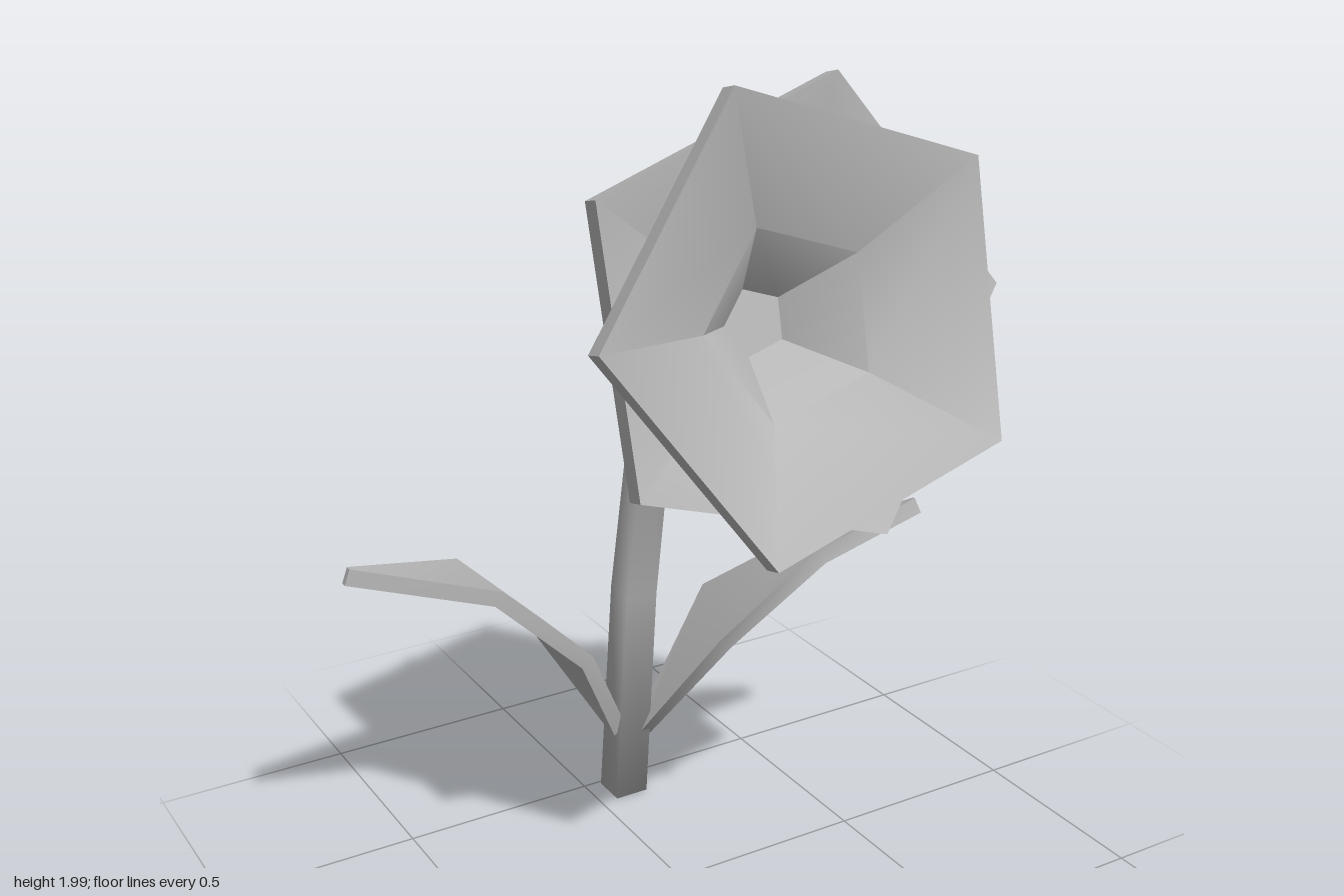
import * as THREE from 'three';
import { toCreasedNormals } from 'three/addons/utils/BufferGeometryUtils.js';

const V = (p) => new THREE.Vector3(...p);

// Closed solid through equal-length rings of points, always facing outwards
function loft(rings, crease) {
  const n = rings[0].length;
  const tris = [];
  const quad = (a, b, c, d) => tris.push([a, b, c], [a, c, d]);
  for (let i = 0; i < rings.length - 1; i++) {
    for (let j = 0; j < n; j++) {
      const k = (j + 1) % n;
      quad(rings[i][j], rings[i][k], rings[i + 1][k], rings[i + 1][j]);
    }
  }
  const last = rings[rings.length - 1];
  for (let j = 1; j < n - 1; j++) {
    tris.push([rings[0][0], rings[0][j + 1], rings[0][j]]);
    tris.push([last[0], last[j], last[j + 1]]);
  }
  let volume = 0;
  for (const [a, b, c] of tris) volume += a.dot(b.clone().cross(c));
  if (volume < 0) tris.forEach((t) => t.reverse());
  const geo = new THREE.BufferGeometry().setFromPoints(tris.flat());
  return toCreasedNormals(geo, crease);
}

// Five-sided layer: each row is [scale of the rim, shift along the axis]
const axis = new THREE.Vector3(0, 0.243, 0.97);
function funnel(rim, center, rows) {
  const c = V(center);
  const rings = rows.map(([s, d]) =>
    rim.map((p) => V(p).sub(c).multiplyScalar(s).add(c).addScaledVector(axis, d)));
  return loft(rings, 0.6);
}

// Square stalk following a path in the yz plane: [x, y, z, width]
function stalk(path) {
  const rings = path.map((p, i) => {
    const a = path[Math.max(i - 1, 0)], b = path[Math.min(i + 1, path.length - 1)];
    const t = new THREE.Vector2(b[1] - a[1], b[2] - a[2]).normalize();
    if (i === 0) t.set(1, 0);
    const h = p[3] / 2;
    return [[-1, -1], [1, -1], [1, 1], [-1, 1]].map(([u, v]) =>
      new THREE.Vector3(p[0] + u * h, p[1] - v * h * t.y, p[2] + v * h * t.x));
  });
  return loft(rings, 1.6);
}

// Leaf blade between a back and a front edge, thickened across its surface
function leaf(pairs) {
  const rings = pairs.map(([a, b], i) => {
    const A = V(a), B = V(b);
    const prev = pairs[Math.max(i - 1, 0)], next = pairs[Math.min(i + 1, pairs.length - 1)];
    const along = V(next[0]).add(V(next[1])).sub(V(prev[0])).sub(V(prev[1]));
    const n = along.cross(B.clone().sub(A)).normalize().multiplyScalar(0.02);
    return [A.clone().add(n), B.clone().add(n), B.clone().sub(n), A.clone().sub(n)];
  });
  return loft(rings, 0.7);
}

export function createModel() {
  const group = new THREE.Group();
  const grey = new THREE.MeshStandardMaterial({ color: 0xb8b8b8 });
  grey.name = 'plain grey';
  const add = (name, geo) => {
    const mesh = new THREE.Mesh(geo, grey);
    mesh.name = name;
    group.add(mesh);
  };

  // Stem bending forward at the top
  add('stem', stalk([
    [0.09, 0, -0.445, 0.09], [0.105, 0.6, -0.405, 0.085], [0.12, 1.2, -0.315, 0.075],
    [0.12, 1.35, -0.2, 0.07], [0.115, 1.41, -0.04, 0.065],
  ]));

  // Two pentagonal petal layers, turned against each other
  const frontRim = [[-0.04, 1.99, 0.255], [0.535, 1.8, 0.31], [0.52, 1.21, 0.465],
    [-0.07, 1.045, 0.49], [-0.41, 1.53, 0.365]];
  const backRim = [[0.27, 1.98, 0.165], [0.635, 1.5, 0.28], [0.28, 1.015, 0.39],
    [-0.31, 1.195, 0.345], [-0.32, 1.785, 0.195]];
  const frontCenter = [0.108, 1.516, 0.378], backCenter = [0.112, 1.496, 0.28];
  add('frontPetals', funnel(frontRim, frontCenter, [
    [0.08, -0.3], [0.44, -0.14], [1, -0.025], [1, 0.02], [0.42, -0.1], [0.15, -0.25],
  ]));
  add('backPetals', funnel(backRim, backCenter, [
    [0.07, -0.33], [0.52, -0.12], [1, -0.025], [1, 0.02], [0.5, -0.06], [0.12, -0.2],
  ]));

  // Small cup where the stem meets the flower
  add('calyx', funnel(frontRim, frontCenter, [[0.07, -0.46], [0.23, -0.36], [0.1, -0.3]]));

  // Leaves growing out of the lower stem
  add('leftLeaf', leaf([
    [[0.12, 0.17, -0.425], [0.13, 0.18, -0.395]],
    [[0.32, 0.56, -0.39], [0.25, 0.5, -0.19]],
    [[0.52, 0.73, -0.21], [0.45, 0.74, -0.07]],
    [[0.705, 0.84, -0.03], [0.7, 0.845, -0.015]],
  ]));
  add('rightLeaf', leaf([
    [[0.06, 0.2, -0.435], [0.06, 0.2, -0.405]],
    [[-0.12, 0.51, -0.51], [-0.09, 0.49, -0.295]],
    [[-0.38, 0.77, -0.43], [-0.34, 0.74, -0.26]],
    [[-0.71, 0.885, -0.275], [-0.71, 0.885, -0.26]],
  ]));

  return group;
}
